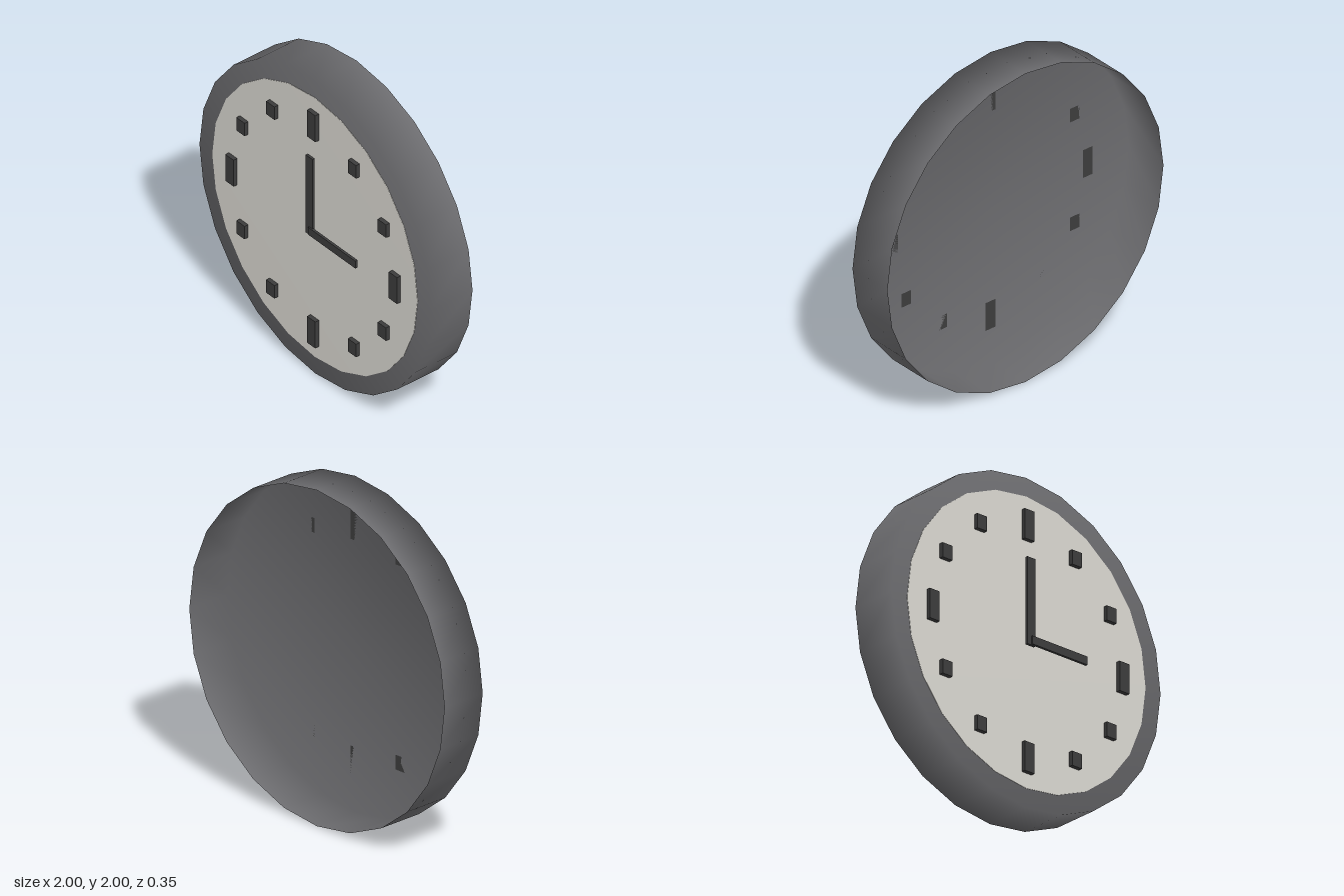
import * as THREE from 'three';

const casingMat = new THREE.MeshStandardMaterial({ color: 0x6c6c6f, side: THREE.DoubleSide });
casingMat.name = 'casing grey';
const faceMat = new THREE.MeshStandardMaterial({ color: 0xdddbd4 });
faceMat.name = 'face off-white';
const darkMat = new THREE.MeshStandardMaterial({ color: 0x3d3d3d });
darkMat.name = 'marker charcoal';

// 24-sided turned shape whose axis points to +z; profile points are [radius, z]
function turned(name, profile, material) {
  const geo = new THREE.LatheGeometry(profile.map(([r, z]) => new THREE.Vector2(r, z)), 24);
  geo.rotateX(Math.PI / 2);
  const mesh = new THREE.Mesh(geo, material);
  mesh.name = name;
  mesh.position.y = 1;
  return mesh;
}

// Upright dark block between two depths, centred on x, y
function block(name, x, y, w, h, z0, z1) {
  const mesh = new THREE.Mesh(new THREE.BoxGeometry(w, h, z1 - z0), darkMat);
  mesh.name = name;
  mesh.position.set(x, y, (z0 + z1) / 2);
  return mesh;
}

export function createModel() {
  const clock = new THREE.Group();
  clock.name = 'wallClock';

  // Thin shell, open at the back, with rounded shading over the front edge
  clock.add(turned('casing', [[1, -0.175], [1, 0.12], [0, 0.12]], casingMat));
  clock.add(turned('face', [[0.885, 0.12], [0.885, 0.124], [0, 0.124]], faceMat));

  // Hour markers, all upright, with longer ones at the quarters
  const markers = new THREE.Group();
  markers.name = 'hourMarkers';
  for (let i = 0; i < 12; i++) {
    const a = (i * Math.PI) / 6;
    const h = i % 3 === 0 ? 0.18 : 0.088;
    markers.add(block('hourMarker', 0.705 * Math.sin(a), 1 + 0.705 * Math.cos(a), 0.071, h, 0.12, 0.15));
  }
  clock.add(markers);

  // Hands at three o'clock
  clock.add(block('minuteHand', 0, 1.235, 0.06, 0.53, 0.149, 0.165));
  clock.add(block('hourHand', 0.205, 1, 0.41, 0.05, 0.157, 0.173));
  return clock;
}
